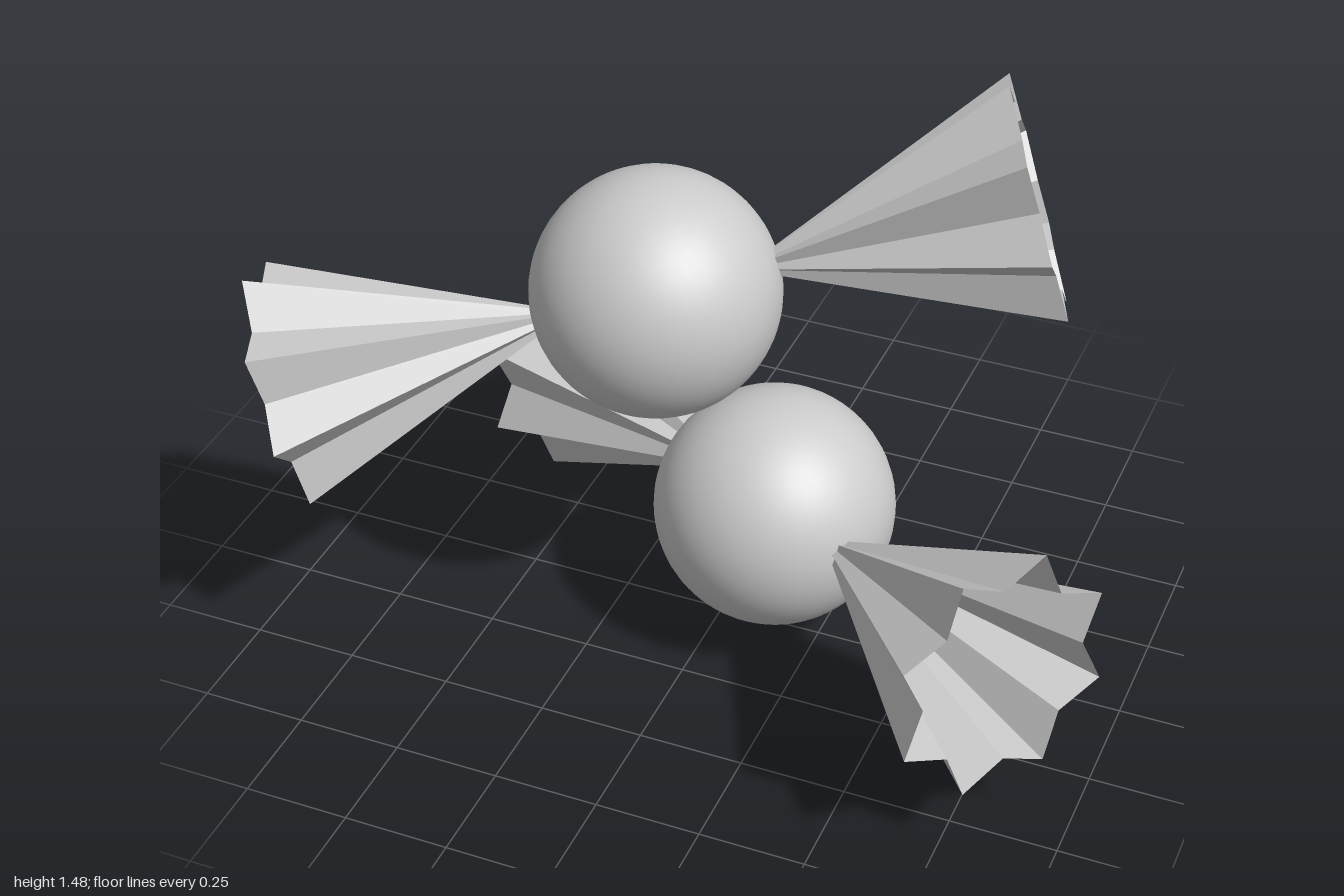
import * as THREE from 'three';

const BALL_RADIUS = 0.285;
const POINTS = 8;

const ballMaterial = new THREE.MeshStandardMaterial({ color: 0xcccccc });
const wrapperMaterial = new THREE.MeshStandardMaterial({
  color: 0xcccccc, flatShading: true, side: THREE.DoubleSide,
});

// Open pleated cone along z: every second edge is pulled inward to make a star section
function pleatedFan(sign, phase) {
  const start = 0.27, end = 0.875;
  const geometry = new THREE.CylinderGeometry(0.287, 0.03, end - start, POINTS * 2, 1, true);
  const position = geometry.attributes.position;
  const perRow = POINTS * 2 + 1;
  for (let i = 0; i < position.count; i++) {
    if ((i % perRow) % 2 === 1) {
      position.setX(i, position.getX(i) * 0.75);
      position.setZ(i, position.getZ(i) * 0.75);
    }
  }
  geometry.translate(0, (start + end) / 2, 0);
  geometry.rotateX(sign * Math.PI / 2);
  geometry.rotateZ(phase);
  geometry.computeVertexNormals();
  return geometry;
}

// Round sweet with a twisted wrapper end on each side of its axis
function wrappedSweet(name, centre, axis, phaseDegrees) {
  const sweet = new THREE.Group();
  sweet.name = name;

  const ball = new THREE.Mesh(new THREE.SphereGeometry(BALL_RADIUS, 48, 32), ballMaterial);
  ball.name = 'ball';
  sweet.add(ball);

  for (const sign of [1, -1]) {
    const fan = new THREE.Mesh(
      pleatedFan(sign, THREE.MathUtils.degToRad(phaseDegrees)), wrapperMaterial);
    fan.name = sign > 0 ? 'leftWrapperEnd' : 'rightWrapperEnd';
    sweet.add(fan);
  }

  // Local z runs along the sweet, local x stays level
  const along = axis.clone().normalize();
  const level = new THREE.Vector3(0, 1, 0).cross(along).normalize();
  const up = along.clone().cross(level);
  sweet.quaternion.setFromRotationMatrix(new THREE.Matrix4().makeBasis(level, up, along));
  sweet.position.copy(centre);
  return sweet;
}

export function createModel() {
  const model = new THREE.Group();
  model.name = 'wrappedSweets';
  model.add(
    wrappedSweet('upperSweet', new THREE.Vector3(-0.113, 0.967, 0.116),
      new THREE.Vector3(0.886, 0.276, -0.374), 0),
    wrappedSweet('lowerSweet', new THREE.Vector3(0.133, 0.36, 0),
      new THREE.Vector3(0.82, 0.104, 0.563), 21),
  );
  return model;
}
